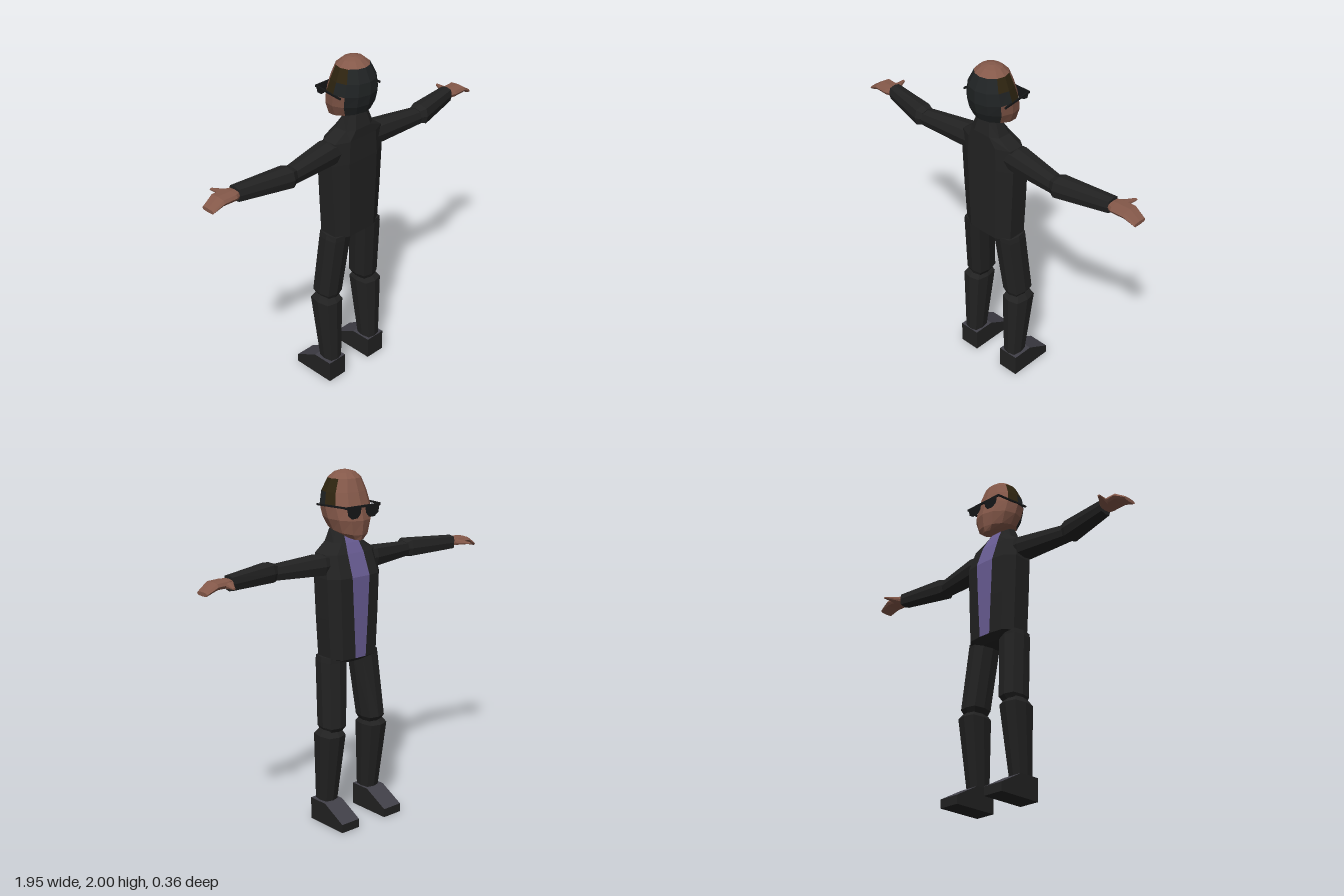
import * as THREE from 'three';

const mat = (name, color, extra = {}) => new THREE.MeshStandardMaterial({ name, color, flatShading: true, ...extra });

// Joins cross-section loops into a closed, faceted mesh; pick(i, j) gives the material index of each quad.
function loft(name, rings, mats, pick = () => 0) {
  const list = Array.isArray(mats) ? mats : [mats];
  const tris = list.map(() => []);
  const n = rings[0].length;
  for (let i = 0; i < rings.length - 1; i++) {
    for (let j = 0; j < n; j++) {
      const k = (j + 1) % n, a = rings[i][j], b = rings[i][k], c = rings[i + 1][k], d = rings[i + 1][j];
      tris[pick(i, j)].push([a, b, c], [a, c, d]);
    }
  }
  for (const end of [0, rings.length - 1]) {
    const r = rings[end];
    const mid = [0, 1, 2].map((q) => r.reduce((s, p) => s + p[q], 0) / n);
    for (let j = 0; j < n; j++) {
      const a = r[j], b = r[(j + 1) % n];
      tris[pick(end ? end : -1, j)].push(end ? [a, b, mid] : [b, a, mid]);
    }
  }
  // Turn every face outwards, whatever the direction of the loops
  let volume = 0;
  const o = rings[0][0];
  const v = (p) => new THREE.Vector3(p[0] - o[0], p[1] - o[1], p[2] - o[2]);
  tris.flat().forEach(([a, b, c]) => { volume += v(a).dot(v(b).cross(v(c))); });
  const geo = new THREE.BufferGeometry();
  const pos = [];
  tris.forEach((set, m) => {
    geo.addGroup(pos.length / 3, set.length * 3, m);
    set.forEach(([a, b, c]) => pos.push(...(volume < 0 ? [a, c, b] : [a, b, c]).flat()));
  });
  geo.setAttribute('position', new THREE.Float32BufferAttribute(pos, 3));
  geo.computeVertexNormals();
  const mesh = new THREE.Mesh(geo, mats);
  mesh.name = name;
  return mesh;
}

// Eight-sided, slightly squared loop: f maps the unit outline to a point
const octagon = (f) => Array.from({ length: 8 }, (_, j) => {
  const a = (j * Math.PI) / 4, k = j % 2 ? 1.15 : 1;
  return f(Math.cos(a) * k, Math.sin(a) * k);
});
const limbY = (s) => ([y, x, hw, zf, zb]) =>
  octagon((u, w) => [s * (x + u * hw), y, (zf + zb) / 2 + (w * (zb - zf)) / 2]);
const limbX = (s) => ([x, y, hy, zf, zb]) =>
  octagon((u, w) => [s * x, y + u * hy, (zf + zb) / 2 + (w * (zb - zf)) / 2]);

export function createModel() {
  const suit = mat('suit black', 0x222222);
  const shirt = mat('shirt purple', 0x695d94);
  const skin = mat('skin brown', 0x85594a);
  const hair = mat('hair black', 0x202324);
  const fade = mat('hair dark brown', 0x2e2410);
  const shoeTop = mat('shoe grey', 0x414048);
  const glass = mat('sunglasses black', 0x161718, { side: THREE.DoubleSide });

  const model = new THREE.Group();
  model.name = 'standingMan';
  const body = new THREE.Group();
  body.name = 'body';
  body.position.x = -0.005;
  model.add(body);

  // Jacket with collar; the centre front strip is the shirt
  const torso = [
    // y front, y back, shirt half width, half width, z front, z back
    [0.94, 0.94, 0.02, 0.07, -0.04, 0.07],
    [0.97, 0.97, 0.037, 0.168, -0.085, 0.13],
    [1.2, 1.2, 0.05, 0.18, -0.087, 0.135],
    [1.43, 1.43, 0.062, 0.19, -0.087, 0.137],
    [1.555, 1.56, 0.058, 0.175, -0.042, 0.133],
    [1.61, 1.615, 0.048, 0.1, -0.015, 0.133],
    [1.66, 1.69, 0.036, 0.07, 0.015, 0.115],
  ].map(([yf, yb, s, w, zf, zb]) => {
    const d = zb - zf, t = Math.max(s * 1.15, w * 0.72);
    const half = [[s, yf, zf], [t, yf, zf + d * 0.05], [w, (yf + yb) / 2, zf + d * 0.28],
      [w, yb, zb - d * 0.22], [w * 0.55, yb, zb - d * 0.02]];
    return [...half, ...half.map(([x, y, z]) => [-x, y, z]).reverse()];
  });
  body.add(loft('jacketAndShirt', torso, [suit, shirt], (i, j) => (i >= 1 && i < 6 && j === 9 ? 1 : 0)));

  // Head: skin face and crown, black hair behind, dark brown at the temples
  const head = [
    // y front, y back, half width, z front, z back
    [1.63, 1.69, 0.06, -0.085, 0.1],
    [1.66, 1.71, 0.105, -0.096, 0.145],
    [1.74, 1.76, 0.134, -0.105, 0.168],
    [1.82, 1.82, 0.143, -0.085, 0.18],
    [1.89, 1.89, 0.127, -0.064, 0.176],
    [1.96, 1.96, 0.094, -0.038, 0.142],
    [1.988, 1.99, 0.06, -0.005, 0.105],
    [2, 2, 0.02, 0.03, 0.07],
  ].map(([yf, yb, w, zf, zb]) => Array.from({ length: 12 }, (_, j) => {
    const a = (j * Math.PI) / 6, c = Math.cos(a);
    return [w * Math.sin(a), yf + ((yb - yf) * (c + 1)) / 2, (zf + zb) / 2 + (c * (zb - zf)) / 2];
  }));
  const headColour = (i, j) => {
    const k = Math.min(j, 11 - j);
    if (i < 1 || i > 4) return 0;
    if (k < 2) return 1;
    if (i < 3) return 0;
    return k === 2 ? (i === 3 ? 1 : 2) : k === 3 ? 2 : 0;
  };
  body.add(loft('head', head, [skin, hair, fade], headColour));

  // Sunglasses
  const glasses = new THREE.Group();
  glasses.name = 'sunglasses';
  body.add(glasses);
  const bar = (name, w, h, d, x, y, z, ry = 0) => {
    const m = new THREE.Mesh(new THREE.BoxGeometry(w, h, d), glass);
    m.name = name;
    m.position.set(x, y, z);
    m.rotation.y = ry;
    glasses.add(m);
  };
  bar('browBar', 0.25, 0.012, 0.008, 0, 1.818, -0.1);
  const lens = new THREE.Shape([[0.012, 1.82], [0.118, 1.82], [0.108, 1.775], [0.08, 1.755], [0.04, 1.758], [0.02, 1.78]]
    .map(([x, y]) => new THREE.Vector2(x, y)));
  for (const s of [1, -1]) {
    bar('temple', 0.008, 0.01, 0.21, s * 0.136, 1.82, 0.003, s * 0.12);
    const m = new THREE.Mesh(new THREE.ShapeGeometry(lens), glass);
    m.name = 'lens';
    m.position.z = -0.104;
    m.rotation.y = s > 0 ? 0 : Math.PI;
    if (s < 0) m.position.z = -0.104;
    glasses.add(m);
  }

  for (const s of [1, -1]) {
    const side = s > 0 ? 'left' : 'right';
    const add = (name, rings, m) => body.add(loft(side + name, rings, m));

    // Sleeves
    add('UpperArm', [[0.13, 1.5, 0.055, -0.02, 0.11], [0.19, 1.5, 0.06, -0.025, 0.115],
      [0.48, 1.495, 0.043, 0.03, 0.127], [0.51, 1.495, 0.03, 0.045, 0.115]].map(limbX(s)), suit);
    add('Forearm', [[0.47, 1.5, 0.043, 0.035, 0.125], [0.505, 1.5, 0.056, 0.022, 0.143],
      [0.805, 1.5, 0.042, -0.02, 0.063]].map(limbX(s)), suit);

    // Hand with bent fingers and a thumb
    add('Hand', [[0.78, 1.5, 0.024, -0.01, 0.05], [0.83, 1.505, 0.021, -0.03, 0.075],
      [0.91, 1.505, 0.019, -0.038, 0.073], [0.973, 1.472, 0.011, -0.028, 0.06]].map(limbX(s)), skin);
    add('Thumb', [[-0.015, 0.828, 0.03], [-0.06, 0.845, 0.016], [-0.098, 0.858, 0.008]]
      .map(([z, x, r]) => octagon((u, w) => [s * (x + u * r), 1.5 + w * r * 0.6, z])), skin);

    // Trouser legs
    add('Thigh', [[0.98, 0.115, 0.07, -0.045, 0.112], [0.95, 0.118, 0.073, -0.045, 0.11],
      [0.58, 0.145, 0.066, -0.08, 0.072], [0.55, 0.147, 0.05, -0.06, 0.06]].map(limbY(s)), suit);
    add('Shin', [[0.565, 0.155, 0.052, -0.055, 0.055], [0.53, 0.157, 0.072, -0.085, 0.085],
      [0.11, 0.158, 0.049, -0.025, 0.088]].map(limbY(s)), suit);

    // Wedge shoe with a lighter upper face
    const outline = [[0, 0.09], [0.13, 0.09], [0.13, -0.035], [0.05, -0.183], [0, -0.183]];
    const shoe = [0.098, 0.224].map((x) => outline.map(([y, z]) => [s * x, y, z]));
    body.add(loft(side + 'Shoe', shoe, [suit, shoeTop], (i, j) => (i === 0 && (j === 1 || j === 2) ? 1 : 0)));
  }
  return model;
}
